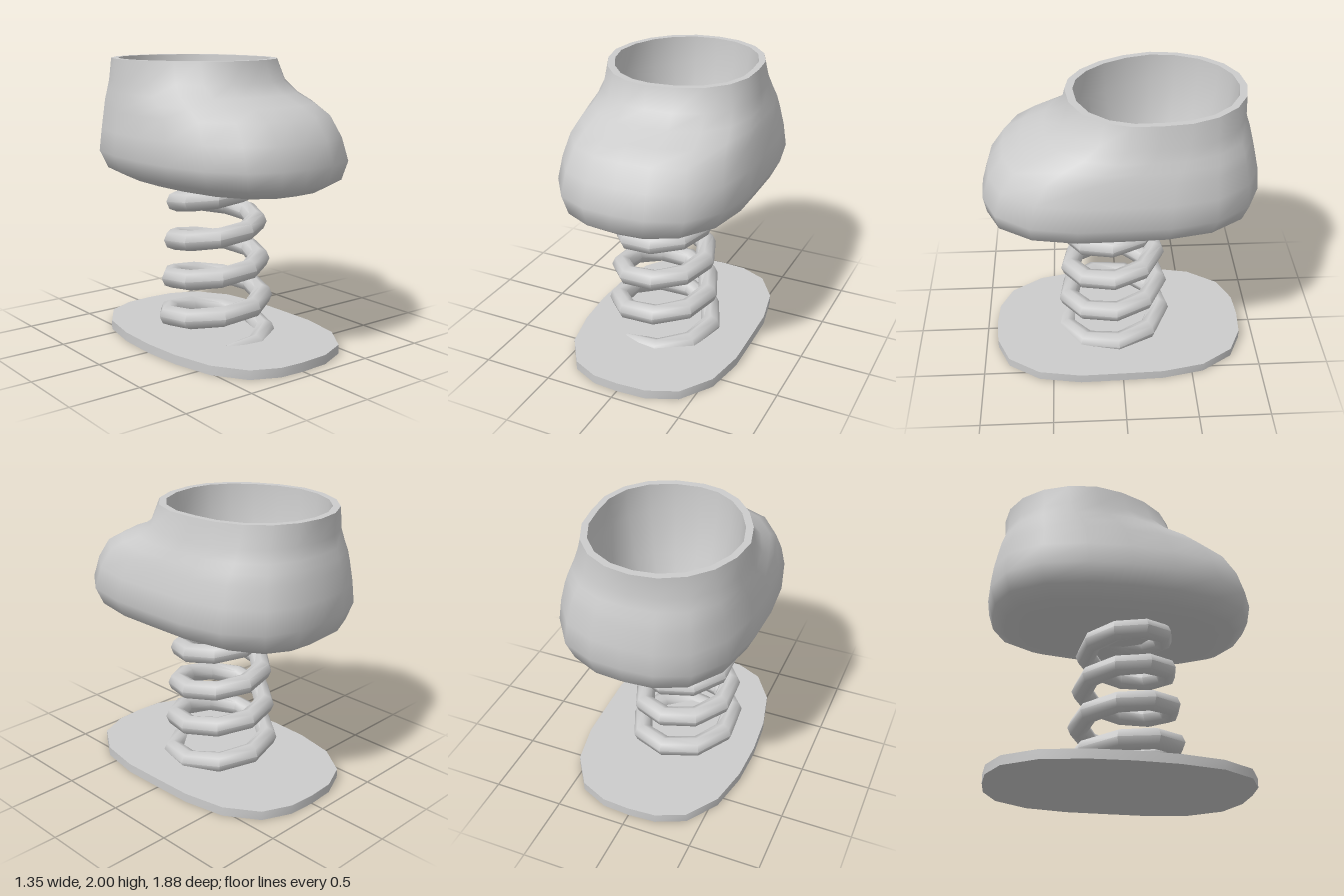
import * as THREE from 'three';
import { toCreasedNormals } from 'three/addons/utils/BufferGeometryUtils.js';

// Skin a list of closed rings (arrays of [x, y, z]) and cap both ends.
function loft(rings) {
  const n = rings[0].length;
  const last = rings.length - 1;
  const pos = rings.flat(2);
  const index = [];
  for (let i = 0; i < last; i++) {
    for (let j = 0; j < n; j++) {
      const k = (j + 1) % n;
      const a = i * n + j, b = i * n + k, c = a + n, d = b + n;
      index.push(a, c, b, b, c, d);
    }
  }
  for (const r of [0, last]) {
    const centre = [0, 1, 2].map((c) => rings[r].reduce((s, p) => s + p[c], 0) / n);
    const m = pos.length / 3;
    pos.push(...centre);
    for (let j = 0; j < n; j++) {
      const p = r * n + j, q = r * n + (j + 1) % n;
      if (r === 0) index.push(m, p, q);
      else index.push(m, q, p);
    }
  }
  const geo = new THREE.BufferGeometry();
  geo.setAttribute('position', new THREE.Float32BufferAttribute(pos, 3));
  geo.setIndex(index);
  return geo;
}

// Horizontal rounded outline given its extents; power 2 is an ellipse, higher is boxier.
// The front corners lean slightly towards +x by the amount lean.
function outline(y, x0, x1, z0, z1, power, lean) {
  const pts = [];
  for (let j = 0; j < 20; j++) {
    const t = (j / 20) * Math.PI * 2;
    const c = Math.cos(t), s = Math.sin(t);
    const r = (Math.abs(c) ** power + Math.abs(s) ** power) ** (-1 / power);
    pts.push([
      (x0 + x1) / 2 + (c * r * (x1 - x0)) / 2 + 2 * lean * Math.max(0, s) * Math.abs(c),
      y,
      (z0 + z1) / 2 + (s * r * (z1 - z0)) / 2,
    ]);
  }
  return pts;
}

function addMesh(group, name, geo) {
  const material = new THREE.MeshStandardMaterial({ color: 0xcccccc });
  const mesh = new THREE.Mesh(toCreasedNormals(geo, 1.0), material);
  mesh.name = name;
  group.add(mesh);
}

export function createModel() {
  const group = new THREE.Group();
  group.name = 'springBoot';

  // Base plate
  addMesh(group, 'basePlate', loft([0, 0.065].map(
    (y) => outline(y, -0.615, 0.615, -0.905, 0.925, 2.85, 0.025))));

  // Coil spring, tapering upward, its ends buried in the plate and the sole
  const perTurn = 9, sides = 8, wire = 0.073;
  const startTurn = -0.32, endTurn = 4.1;
  const steps = Math.round((endTurn - startTurn) * perTurn);
  const coil = [];
  for (let i = 0; i <= steps; i++) {
    const f = i / steps;
    const turn = startTurn + (endTurn - startTurn) * f;
    const angle = turn * Math.PI * 2;
    const radius = 0.363 - 0.1 * f;
    const ring = [];
    for (let j = 0; j < sides; j++) {
      const phi = (j / sides) * Math.PI * 2;
      const r = radius + wire * Math.cos(phi);
      const y = 0.085 + 0.273 * turn + wire * Math.sin(phi);
      ring.push([
        -0.057 + r * Math.cos(angle),
        THREE.MathUtils.clamp(y, 0.01, 1.2),
        0.045 - r * Math.sin(angle),
      ]);
    }
    coil.push(ring);
  }
  addMesh(group, 'spring', loft(coil));

  // Boot: sole, outer wall, rim, then down the inner wall to the inner floor
  // Each row: height, x range, z range, outline power, lean
  const bootRings = [
    [1.13, -0.36, 0.35, -0.65, 0.64, 2.6, 0.02],
    [1.158, -0.5, 0.49, -0.82, 0.83, 2.7, 0.02],
    [1.22, -0.62, 0.61, -0.905, 0.92, 2.8, 0.025],
    [1.345, -0.677, 0.672, -0.94, 0.938, 2.85, 0.025],
    [1.5, -0.657, 0.648, -0.93, 0.89, 2.8, 0.025],
    [1.64, -0.635, 0.61, -0.9, 0.79, 2.8, 0.03],
    [1.71, -0.622, 0.585, -0.885, 0.66, 2.7, 0.03],
    [1.77, -0.61, 0.558, -0.865, 0.51, 2.5, 0.035],
    [1.85, -0.6, 0.53, -0.845, 0.4, 2.3, 0.04],
    [2.0, -0.587, 0.5, -0.85, 0.358, 2.1, 0.04],
    [2.0, -0.54, 0.456, -0.8, 0.305, 2.1, 0.04],
    [1.8, -0.53, 0.44, -0.785, 0.29, 2.1, 0.04],
    [1.5, -0.46, 0.37, -0.71, 0.22, 2.1, 0.035],
    [1.25, -0.363, 0.275, -0.62, 0.128, 2.1, 0.03],
  ];
  addMesh(group, 'boot', loft(bootRings.map((r) => outline(...r))));

  return group;
}
